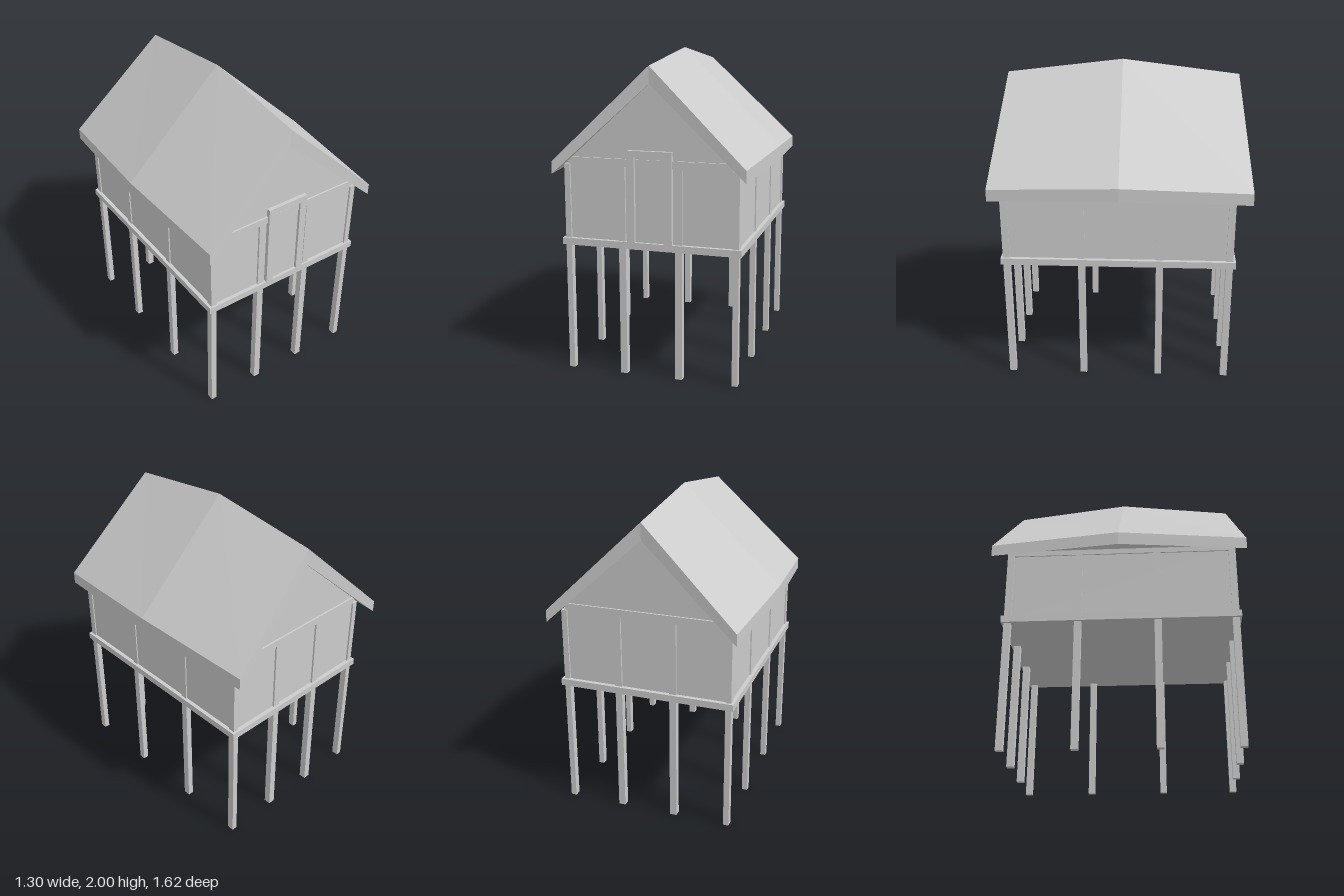
import * as THREE from 'three';

const material = new THREE.MeshStandardMaterial({ color: 0xcccccc, flatShading: true });

export function createModel() {
  const model = new THREE.Group();
  const add = (name, geometry) => {
    const mesh = new THREE.Mesh(geometry, material);
    mesh.name = name;
    model.add(mesh);
    return mesh;
  };
  // Box given by its minimum and maximum on each axis
  const box = (name, x0, x1, y0, y1, z0, z1) =>
    add(name, new THREE.BoxGeometry(x1 - x0, y1 - y0, z1 - z0))
      .position.set((x0 + x1) / 2, (y0 + y1) / 2, (z0 + z1) / 2);

  // Floor deck
  box('deck', -0.565, 0.565, 0.81, 0.853, -0.73, 0.75);

  // Stilts around the perimeter, carrying on up as wall posts
  const xs = [-0.53, -0.178, 0.178, 0.53];
  const zs = [-0.692, -0.255, 0.24, 0.715];
  xs.forEach((x, i) => zs.forEach((z, j) => {
    if (i % 3 && j % 3) return;
    const w = i % 3 ? 0.022 : 0.018;
    box('post', x - w, x + w, 0, 1.312, z - 0.022, z + 0.022);
  }));

  // Gable end walls and their tie beams
  const gable = new THREE.Shape([
    [-0.53, 0.84], [0.53, 0.84], [0.53, 1.335], [0, 1.815], [-0.53, 1.335],
  ].map(([x, y]) => new THREE.Vector2(x, y)));
  for (const [side, z] of [['front', 0.715], ['back', -0.692]]) {
    add(side + 'Wall', new THREE.ExtrudeGeometry(gable, { depth: 0.02, bevelEnabled: false }))
      .position.z = z - 0.01;
    box(side + 'Beam', -0.51, 0.51, 1.312, 1.358, z - 0.022, z + 0.022);
  }

  // Long side walls with top plates
  for (const s of [-1, 1]) {
    const x = s * 0.53;
    box('sideWall', x - 0.01, x + 0.01, 0.84, 1.312, -0.692, 0.715);
    box('topPlate', x - 0.018, x + 0.018, 1.28, 1.315, -0.7, 0.725);
    box('doorJamb', s * 0.117 - 0.024, s * 0.117 + 0.024, 0.853, 1.412, 0.71, 0.75);
  }

  // Door
  box('doorLintel', -0.093, 0.093, 1.372, 1.412, 0.71, 0.75);
  box('door', -0.093, 0.093, 0.853, 1.372, 0.71, 0.732);

  add('roof', roofGeometry());
  return model;
}

// Thick gabled roof, highest and widest halfway along its length
function roofGeometry() {
  const section = (half, eaveTop, eaveBottom, ridge, ridgeInner, eaveZ, ridgeZ) => [
    [half, eaveTop, eaveZ], [0, ridge, ridgeZ], [-half, eaveTop, eaveZ],
    [-half, eaveBottom, eaveZ], [0, ridgeInner, ridgeZ], [half, eaveBottom, eaveZ],
  ];
  const sections = [
    section(0.6, 1.335, 1.26, 1.91, 1.805, -0.81, -0.738),
    section(0.65, 1.375, 1.29, 2, 1.895, 0, 0),
    section(0.6, 1.335, 1.26, 1.91, 1.805, 0.805, 0.735),
  ];
  const positions = [];
  const quad = (a, b, c, d) => positions.push(...a, ...b, ...c, ...a, ...c, ...d);
  for (let s = 0; s < 2; s++) {
    const p = sections[s], q = sections[s + 1];
    for (let i = 0; i < 6; i++) {
      const n = (i + 1) % 6;
      quad(p[i], p[n], q[n], q[i]);
    }
  }
  // Verge faces
  const back = sections[0], front = sections[2];
  for (const [a, b, c, d] of [[0, 1, 4, 5], [1, 2, 3, 4]]) {
    quad(front[a], front[b], front[c], front[d]);
    quad(back[d], back[c], back[b], back[a]);
  }
  const geometry = new THREE.BufferGeometry();
  geometry.setAttribute('position', new THREE.Float32BufferAttribute(positions, 3));
  geometry.computeVertexNormals();
  return geometry;
}
